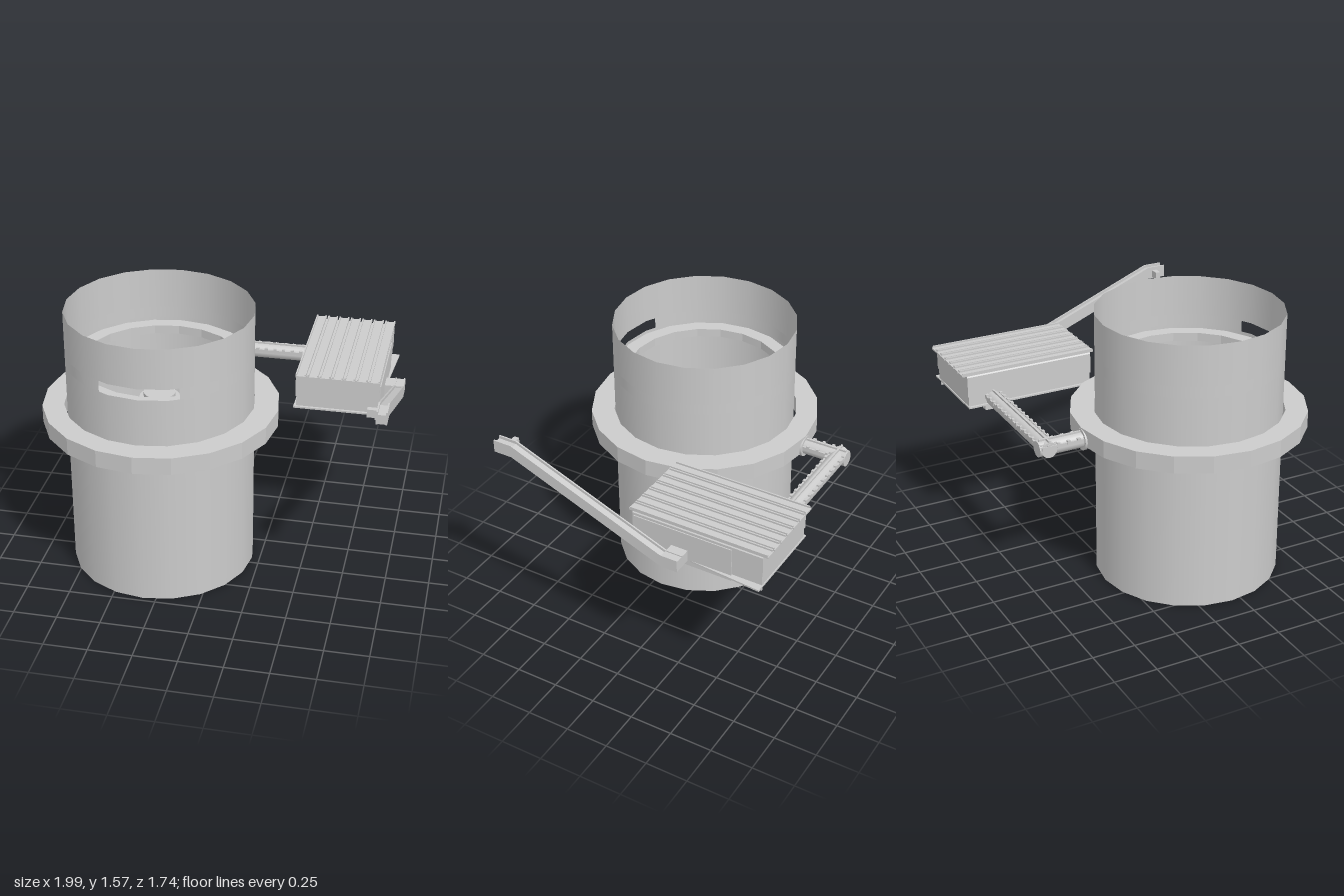
import * as THREE from 'three';

const CX = -0.325, CZ = 0.195, R = 0.53, SIDES = 20;

export function createModel() {
  const model = new THREE.Group();
  const smooth = new THREE.MeshStandardMaterial({ color: 0xcccccc, side: THREE.DoubleSide });
  const flat = new THREE.MeshStandardMaterial({ color: 0xcccccc, side: THREE.DoubleSide, flatShading: true });

  const add = (name, geometry, parent = model, material = flat) => {
    const mesh = new THREE.Mesh(geometry, material);
    mesh.name = name;
    parent.add(mesh);
    return mesh;
  };
  const group = (name) => {
    const g = new THREE.Group();
    g.name = name;
    model.add(g);
    return g;
  };
  // Box given by its lower and upper limits on each axis
  const block = (name, x0, x1, y0, y1, z0, z1, parent) =>
    add(name, new THREE.BoxGeometry(x1 - x0, y1 - y0, z1 - z0)
      .translate((x0 + x1) / 2, (y0 + y1) / 2, (z0 + z1) / 2), parent);
  const circle = (Type, r, dx = 0, sides = SIDES) => {
    const pts = [];
    for (let i = 0; i < sides; i++) {
      const a = i / sides * Math.PI * 2;
      pts.push(new THREE.Vector2(dx + r * Math.cos(a), r * Math.sin(a)));
    }
    return new Type(pts);
  };
  // Flat ring lying between two heights around the tank axis
  const ring = (name, outer, inner, y0, y1, holeShift, parent) => {
    const shape = circle(THREE.Shape, outer);
    shape.holes.push(circle(THREE.Path, inner, holeShift));
    const geo = new THREE.ExtrudeGeometry(shape, { depth: y1 - y0, bevelEnabled: false });
    add(name, geo.rotateX(-Math.PI / 2).translate(CX, y0, CZ), parent);
  };

  // Tank wall: open 20-sided tube with a window slot in the front
  const tank = group('tank');
  const band = (name, y0, y1, start = 0, sweep = 360, segments = SIDES) => {
    const geo = new THREE.CylinderGeometry(R, R, y1 - y0, segments, 1, true,
      THREE.MathUtils.degToRad(start), THREE.MathUtils.degToRad(sweep));
    // Pull every vertex onto the sides of the 20-sided outline
    const p = geo.attributes.position, step = Math.PI * 2 / SIDES;
    for (let i = 0; i < p.count; i++) {
      const a = Math.atan2(p.getX(i), p.getZ(i)) + Math.PI * 2 + 1e-6;
      const k = Math.cos(step / 2) / Math.cos((a % step) - step / 2);
      p.setX(i, p.getX(i) * k);
      p.setZ(i, p.getZ(i) * k);
    }
    add(name, geo.translate(CX, (y0 + y1) / 2, CZ), tank, smooth);
  };
  band('lowerWall', 0, 1.27);
  band('slottedWall', 1.27, 1.335, 25, 310, 310);
  band('upperWall', 1.335, 1.57);
  ring('outerCollar', 0.67, 0.54, 0.9, 1.0, -0.008, tank);
  ring('innerLedge', 0.529, 0.45, 1.2, 1.25, 0, tank);

  // Central column with its cap, and a spoke carried by two posts
  const core = group('centralColumn');
  const post = (name, r, y0, y1, x, z) =>
    add(name, new THREE.CylinderGeometry(r, r, y1 - y0, 24).translate(x, (y0 + y1) / 2, z), core,
      new THREE.MeshStandardMaterial({ color: 0xcccccc }));
  post('columnShaft', 0.064, 0.03, 1.0, -0.335, CZ);
  post('columnCap', 0.115, 0.98, 1.02, -0.335, CZ);
  post('columnKnob', 0.09, 1.02, 1.05, -0.335, CZ);
  const spoke = add('spoke', new THREE.BoxGeometry(0.4, 0.03, 0.032), core);
  spoke.position.set(-0.075, 0.98, 0.167);
  spoke.rotation.y = 0.115;
  for (const d of [0.16, 0.29]) post('spokePost', 0.017, 0.03, 0.98, -0.335 + d, CZ - d * 0.115);

  // Elbow pipe from the collar to the box, with cover ribs and cleats
  const pipe = group('elbowPipe');
  const PY = 0.93, PZ = -0.685;
  add('pipeRun', new THREE.CylinderGeometry(0.045, 0.045, 0.77, 16)
    .rotateZ(Math.PI / 2).translate(0.015, PY, PZ), pipe, smooth);
  add('pipeInlet', new THREE.CylinderGeometry(0.045, 0.045, 0.29, 16)
    .rotateX(Math.PI / 2).translate(CX, PY, -0.595), pipe, smooth);
  add('inletFlange', new THREE.CylinderGeometry(0.062, 0.062, 0.015, 16)
    .rotateX(Math.PI / 2).translate(CX, PY, -0.47), pipe, smooth);
  for (const o of [-0.045, 0, 0.045]) {
    const top = o ? 0.955 : 0.985;
    block('runRib', -0.37, 0.4, top - 0.02, top, PZ + o - 0.005, PZ + o + 0.005, pipe);
    block('inletRib', CX + o - 0.005, CX + o + 0.005, top - 0.02, top, -0.73, -0.48, pipe);
  }
  for (let i = 0; i < 15; i++) {
    const x = -0.36 + i * 0.053;
    for (const s of [-1, 1]) {
      const z = PZ + s * 0.043;
      block('runCleat', x, x + 0.018, 0.94, 0.965, z - 0.008, z + 0.008, pipe);
    }
  }
  for (let i = 0; i < 4; i++) {
    const z = -0.7 + i * 0.06;
    for (const s of [-1, 1]) {
      const x = CX + s * 0.043;
      block('inletCleat', x - 0.008, x + 0.008, 0.94, 0.965, z, z + 0.018, pipe);
    }
  }

  // Ribbed box: chamfered housing over a base
  const box = group('ribbedBox');
  const hood = new THREE.Shape([[0.4, 0.965], [0.88, 0.965], [0.88, 1.085], [0.865, 1.1],
    [0.415, 1.1], [0.4, 1.085]].map(([x, y]) => new THREE.Vector2(x, y)));
  add('housing', new THREE.ExtrudeGeometry(hood, { depth: 0.78, bevelEnabled: false })
    .translate(0, 0, -0.84), box);
  block('base', 0.405, 0.875, 0.905, 0.965, -0.835, -0.065, box);
  // Roof slats with a raised lip along each edge
  for (let i = 0; i < 7; i++) {
    const x = 0.4 + i * 0.07;
    block('roofSlat', x, x + 0.06, 1.095, 1.105, -0.87, -0.04, box);
    for (const e of [x, x + 0.052])
      block('slatLip', e, e + 0.008, 1.105, 1.115, -0.865, -0.045, box);
  }
  // Thin base plate, wider towards the back
  const plate = new THREE.Shape([[0.39, -0.05], [0.885, -0.05], [0.885, -0.4], [0.92, -0.84], [0.39, -0.84]]
    .map(([x, z]) => new THREE.Vector2(x, -z)));
  add('basePlate', new THREE.ExtrudeGeometry(plate, { depth: 0.01, bevelEnabled: false })
    .rotateX(-Math.PI / 2).translate(0, 0.895, 0), box);
  block('sidePanel', 0.88, 0.886, 0.87, 1.07, -0.66, -0.07, box);
  block('sideSkirt', 0.86, 0.87, 0.862, 0.9, -0.83, -0.06, box);
  block('pipeBracket', 0.39, 0.43, 0.868, 0.9, -0.74, -0.62, box);

  // Raised chute: cranked beam with edge strips, foot and head bracket
  const chute = group('chute');
  const profile = (low, high) => {
    const line = [[0.73, 1.305], [0.62, 1.305], [-0.3, 0.935], [-0.4, 0.935]];
    const side = (d) => line.map(([z, y]) => new THREE.Vector2(z, y + d));
    return new THREE.Shape([...side(low), ...side(high).reverse()]);
  };
  const beam = (name, low, high, x0, x1) =>
    add(name, new THREE.ExtrudeGeometry(profile(low, high), { depth: x1 - x0, bevelEnabled: false })
      .rotateY(-Math.PI / 2).translate(x1, 0, 0), chute);
  beam('beam', -0.033, 0.02, 0.943, 0.992);
  for (const x of [0.938, 0.988]) beam('beamEdge', -0.036, 0.036, x, x + 0.009);
  block('chuteFoot', 0.88, 0.995, 0.9, 0.965, -0.4, -0.3, chute);
  block('headBracket', 0.885, 0.945, 1.275, 1.32, 0.645, 0.675, chute);

  return model;
}
